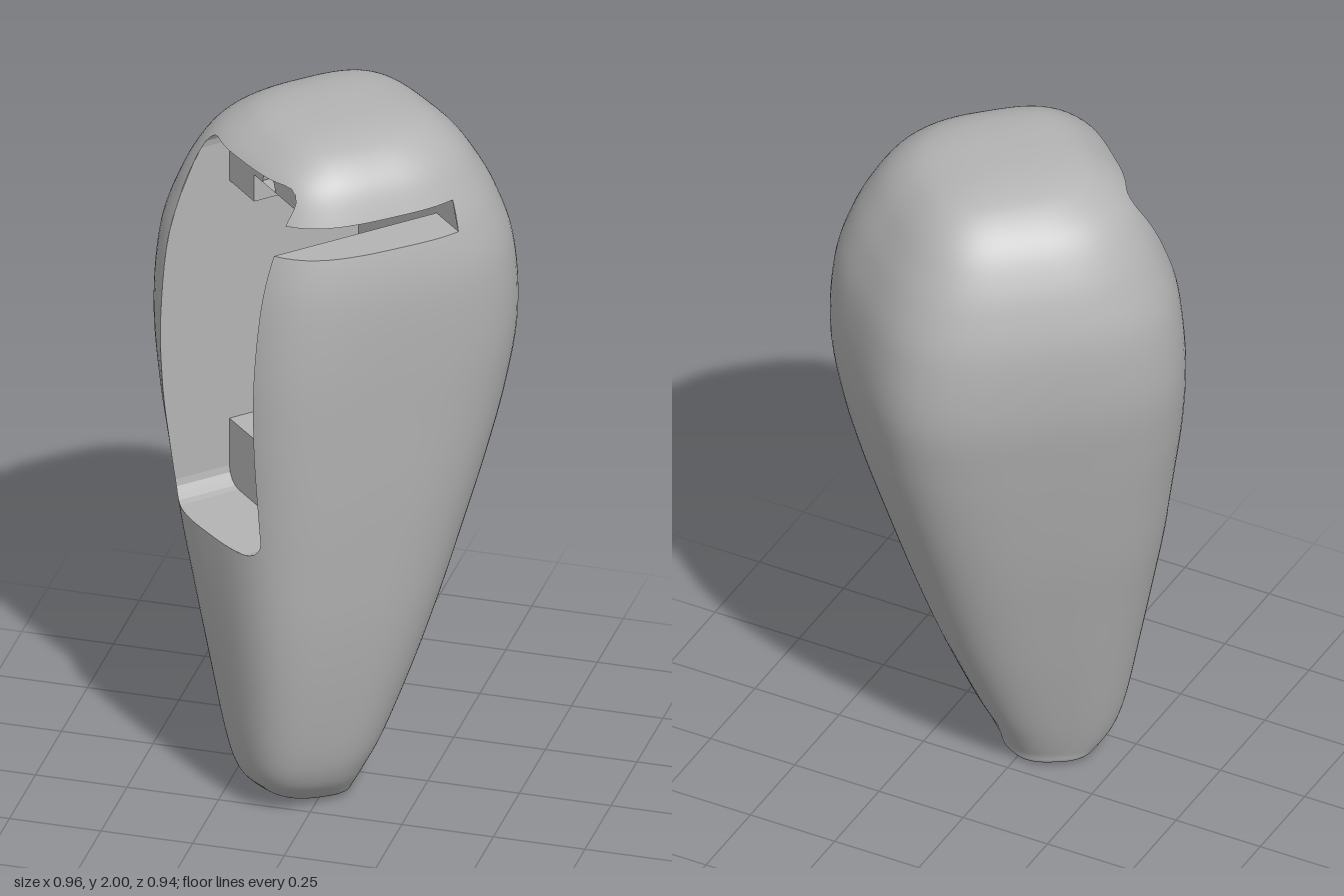
import * as THREE from 'three';

// Levels from bottom to top: y, min x, max x, min z, max z, squareness of the section
const LEVELS = [
  [0, -0.1, 0.03, 0.08, 0.16, 2.6], [0.01, -0.16, 0.065, 0.042, 0.205, 2.6],
  [0.04, -0.188, 0.083, 0.03, 0.25, 2.6], [0.1, -0.22, 0.115, 0, 0.31, 2.6],
  [0.2, -0.25, 0.163, -0.05, 0.35, 2.7], [0.4, -0.295, 0.235, -0.14, 0.39, 2.8],
  [0.6, -0.34, 0.297, -0.22, 0.42, 2.9], [0.8, -0.385, 0.352, -0.295, 0.44, 3.0],
  [1.0, -0.422, 0.405, -0.365, 0.455, 3.1], [1.2, -0.458, 0.45, -0.425, 0.466, 3.2],
  [1.4, -0.479, 0.478, -0.465, 0.468, 3.2], [1.6, -0.465, 0.47, -0.453, 0.452, 3.0],
  [1.74, -0.42, 0.43, -0.412, 0.422, 2.9], [1.84, -0.37, 0.38, -0.362, 0.385, 2.9],
  [1.91, -0.315, 0.33, -0.31, 0.345, 2.9], [1.96, -0.24, 0.265, -0.245, 0.285, 2.9],
  [1.985, -0.175, 0.195, -0.17, 0.225, 2.9], [1.997, -0.095, 0.11, -0.08, 0.145, 2.8],
  [2.0, -0.01, 0.02, 0.02, 0.05, 2.7],
];
const SPANS = LEVELS.length - 1, STEPS = 6, SIDES = 96;

// Pocket and slot limits in the body's own turned frame (u across, v outwards)
const U0 = -0.163, U1 = 0.258, Y0 = 0.84, Y1 = 1.91, R = 0.05;
const BOSS_V = 0.23, DEEP_V = -0.158, LOW = 1.03, SLOT0 = 1.74, SLOT1 = 1.82, SLOT_U = -0.03;

// Smoothly interpolated level values at parameter t
function levelAt(t) {
  const i = Math.min(Math.floor(t), SPANS - 1), f = t - i;
  const row = (k) => LEVELS[Math.max(0, Math.min(SPANS, k))];
  return LEVELS[0].map((_, c) => {
    const [p, q, r, s] = [row(i - 1)[c], row(i)[c], row(i + 1)[c], row(i + 2)[c]];
    return q + 0.5 * f * (r - p + f * (2 * p - 5 * q + 4 * r - s + f * (3 * (q - r) + s - p)));
  });
}
// Rounded square turned by 45 degrees and fitted to the level's box;
// the side corners are rounder than the front and back corners
function ring([y, x0, x1, z0, z1, n]) {
  const a = 0.87 + 0.12 * THREE.MathUtils.smoothstep(y, 1.1, 1.95);
  const flat = Array.from({ length: SIDES }, (_, j) => {
    const c = Math.cos(j / SIDES * Math.PI * 2), d = Math.sin(j / SIDES * Math.PI * 2);
    const e = n * (c * d < 0 ? 0.81 : 1.25);
    const r = Math.pow(Math.pow(Math.abs(c / a), e) + Math.pow(Math.abs(d), e), -1 / e);
    return [r * (c - d), r * (c + d)];
  });
  const fit = (k, lo, hi) => {
    const all = flat.map((p) => p[k]), min = Math.min(...all), max = Math.max(...all);
    return all.map((v) => lo + (hi - lo) * (v - min) / (max - min));
  };
  const xs = fit(0, x0, x1), zs = fit(1, z0, z1);
  return xs.map((x, j) => [(x + zs[j]) * Math.SQRT1_2, y, (zs[j] - x) * Math.SQRT1_2]);
}
function ringAtY(y) {
  let lo = 0, hi = SPANS;
  for (let k = 0; k < 40; k++) {
    const mid = (lo + hi) / 2;
    if (levelAt(mid)[0] < y) lo = mid; else hi = mid;
  }
  return ring(levelAt(lo));
}
// Outermost skin position along one axis where the other axis has a given value
function skin(y, axis, value) {
  let best = -1;
  ringAtY(y).forEach((p, i, pts) => {
    const q = pts[(i + 1) % SIDES], dp = p[axis] - value, dq = q[axis] - value;
    if ((dp >= 0) !== (dq >= 0)) best = Math.max(best, p[2 - axis] + (q[2 - axis] - p[2 - axis]) * dp / (dp - dq));
  });
  return best;
}

// Split a polygon by a plane [nx, ny, nz, d] into kept and removed sides
function split(poly, [nx, ny, nz, d]) {
  const inside = [], outside = [];
  poly.forEach((p, i) => {
    const q = poly[(i + 1) % poly.length];
    const dp = nx * p[0] + ny * p[1] + nz * p[2] - d, dq = nx * q[0] + ny * q[1] + nz * q[2] - d;
    (dp >= 0 ? inside : outside).push(p);
    if ((dp >= 0) !== (dq >= 0)) {
      const m = p.map((c, k) => c + (q[k] - c) * dp / (dp - dq));
      inside.push(m);
      outside.push(m);
    }
  });
  return [inside, outside];
}
// Remove a convex volume from a list of polygons
function cut(polys, planes) {
  const kept = [];
  for (const poly of polys) {
    let rest = poly;
    for (const plane of planes) {
      const [inside, outside] = split(rest, plane);
      if (outside.length > 2) kept.push(outside);
      rest = inside;
      if (rest.length < 3) break;
    }
  }
  return kept;
}
// Polygons to geometry; points may carry a normal in entries 3 to 5
function toGeometry(polys) {
  const pos = [], nor = [];
  for (const p of polys) for (let i = 1; i < p.length - 1; i++) for (const v of [p[0], p[i], p[i + 1]]) {
    pos.push(v[0], v[1], v[2]);
    if (v.length > 3) nor.push(v[3], v[4], v[5]);
  }
  const g = new THREE.BufferGeometry();
  g.setAttribute('position', new THREE.Float32BufferAttribute(pos, 3));
  if (nor.length) g.setAttribute('normal', new THREE.Float32BufferAttribute(nor, 3));
  else g.computeVertexNormals();
  return g;
}
// Rounded pocket outline, anticlockwise in (u, y), with extra points along the edges
function outline(sideYs, endUs) {
  const arc = (cu, cy, start) => [0, 1, 2, 3, 4].map((k) => {
    const t = start + k * Math.PI / 8;
    return [cu + R * Math.cos(t), cy + R * Math.sin(t)];
  });
  return [
    ...arc(U1 - R, Y0 + R, -Math.PI / 2), ...sideYs.map((y) => [U1, y]), ...arc(U1 - R, Y1 - R, 0),
    ...endUs.map((u) => [u, Y1]).reverse(),
    ...arc(U0 + R, Y1 - R, Math.PI / 2), ...sideYs.map((y) => [U0, y]).reverse(), ...arc(U0 + R, Y0 + R, Math.PI),
    ...endUs.map((u) => [u, Y0]),
  ];
}
function bodyPolys() {
  const rings = Array.from({ length: SPANS * STEPS + 1 }, (_, i) => ring(levelAt(i / STEPS)));
  const pts = rings.flat(), idx = [];
  for (let i = 0; i < rings.length - 1; i++) for (let j = 0; j < SIDES; j++) {
    const a = i * SIDES + j, b = i * SIDES + (j + 1) % SIDES;
    idx.push(a, a + SIDES, b, b, a + SIDES, b + SIDES);
  }
  const g = new THREE.BufferGeometry();
  g.setAttribute('position', new THREE.Float32BufferAttribute(pts.flat(), 3));
  g.setIndex(idx);
  g.computeVertexNormals();
  const n = g.attributes.normal;
  const full = pts.map((p, i) => [...p, n.getX(i), n.getY(i), n.getZ(i)]);
  const polys = [];
  for (let i = 0; i < idx.length; i += 3) polys.push([full[idx[i]], full[idx[i + 1]], full[idx[i + 2]]]);
  polys.push(rings[0].map((p) => [...p, 0, -1, 0]), rings.at(-1).map((p) => [...p, 0, 1, 0]).reverse());
  return polys;
}

export function createModel() {
  const model = new THREE.Group(), shell = new THREE.Group();
  shell.name = 'handle';
  shell.rotation.y = -Math.PI / 4;
  model.add(shell);
  const grey = new THREE.MeshStandardMaterial({ color: 0xb4b4b4, side: THREE.DoubleSide });
  grey.name = 'plain grey';
  const add = (name, geometry) => {
    const m = new THREE.Mesh(geometry, grey);
    m.name = name;
    shell.add(m);
    return m;
  };

  // Outer skin with the pocket and the slot cut out
  const edge = outline([], []);
  const pocket = edge.map(([u, y], i) => {
    const [u2, y2] = edge[(i + 1) % edge.length];
    return [y - y2, u2 - u, 0, (y - y2) * u + (u2 - u) * y];
  });
  pocket.push([0, 0, 1, 0]);
  const slot = [[0, 1, 0, SLOT0], [0, -1, 0, -SLOT1], [1, 0, 0, SLOT_U], [0, 0, 1, DEEP_V]];
  add('body', toGeometry(cut(cut(bodyPolys(), pocket), slot)));

  // Pocket rim walls, running from the skin inwards
  const sideYs = [0.93, ...Array.from({ length: 15 }, (_, i) => LOW + (SLOT0 - LOW) * i / 14), SLOT1];
  const endUs = Array.from({ length: 11 }, (_, i) => U0 + R + (U1 - U0 - 2 * R) * (i + 1) / 12);
  const rim = outline(sideYs, endUs), walls = [];
  rim.forEach(([u, y], i) => {
    const [u2, y2] = rim[(i + 1) % rim.length], mid = (y + y2) / 2;
    if (u === U1 && u2 === U1 && mid > SLOT0 && mid < SLOT1) return;
    const v = mid > LOW && mid < SLOT0 ? DEEP_V : BOSS_V;
    const outer = (a, b) => Math.max(v, skin(b, 0, a));
    walls.push([[u, y, v], [u, y, outer(u, y)], [u2, y2, outer(u2, y2)], [u2, y2, v]]);
  });
  add('pocketWalls', toGeometry(walls));

  // Deep recess between the two mounting bosses
  const shelf = (y, u2) => [[U0, y, DEEP_V], [U0, y, BOSS_V], [u2, y, BOSS_V], [u2, y, DEEP_V]];
  add('recess', toGeometry([
    [[U0, LOW, DEEP_V], [U1, LOW, DEEP_V], [U1, SLOT0, DEEP_V], [U0, SLOT0, DEEP_V]],
    shelf(LOW, U1), shelf(SLOT0, SLOT_U).reverse(),
  ]));

  // Slot floor, roof, end and inner wall
  const cap = (y, minU) => [[1, 0, 0, minU], [0, 0, 1, DEEP_V]].reduce((p, plane) => split(p, plane)[0], ringAtY(y));
  const roof = cut([cap(SLOT1, SLOT_U)], [[-1, 0, 0, -U1], [0, 0, 1, BOSS_V]]);
  const [e0, e1] = [SLOT0, SLOT1].map((y) => skin(y, 2, DEEP_V));
  add('slot', toGeometry([
    cap(SLOT0, U1).reverse(), ...roof,
    [[SLOT_U, SLOT0, DEEP_V], [e0, SLOT0, DEEP_V], [e1, SLOT1, DEEP_V], [SLOT_U, SLOT1, DEEP_V]],
    [[SLOT_U, SLOT0, DEEP_V], [SLOT_U, SLOT1, DEEP_V], [SLOT_U, SLOT1, BOSS_V], [SLOT_U, SLOT0, BOSS_V]],
  ]));

  // Boss faces with screw holes
  const holeU = 0.05, holeR = 0.033;
  const shapeOf = (pts) => new THREE.Shape(pts.map(([u, y]) => new THREE.Vector2(u, y)));
  const lower = shapeOf(rim.filter(([, y]) => y <= LOW));
  lower.holes.push(new THREE.Path().absarc(holeU, 0.925, holeR, 0, Math.PI * 2, true));
  add('lowerBoss', new THREE.ShapeGeometry(lower)).position.z = BOSS_V;
  const notch = Array.from({ length: 11 }, (_, i) => {
    const t = Math.PI * (1 - i / 10);
    return [holeU + holeR * Math.cos(t), SLOT1 + 0.008 * Math.sin(t) + holeR * Math.sin(t)];
  });
  const upper = shapeOf([...rim.filter(([, y]) => y >= SLOT1), [U0, SLOT0], [SLOT_U, SLOT0], [SLOT_U, SLOT1], ...notch]);
  add('upperBoss', new THREE.ShapeGeometry(upper)).position.z = BOSS_V;
  for (const [name, y, start, length] of [['lowerHole', 0.925, 0, Math.PI * 2], ['upperHole', SLOT1 + 0.005, Math.PI / 2, Math.PI]]) {
    const hole = add(name, new THREE.CylinderGeometry(holeR, holeR, 0.12, 20, 1, true, start, length));
    hole.rotation.x = Math.PI / 2;
    hole.position.set(holeU, y, BOSS_V - 0.06);
  }
  return model;
}
